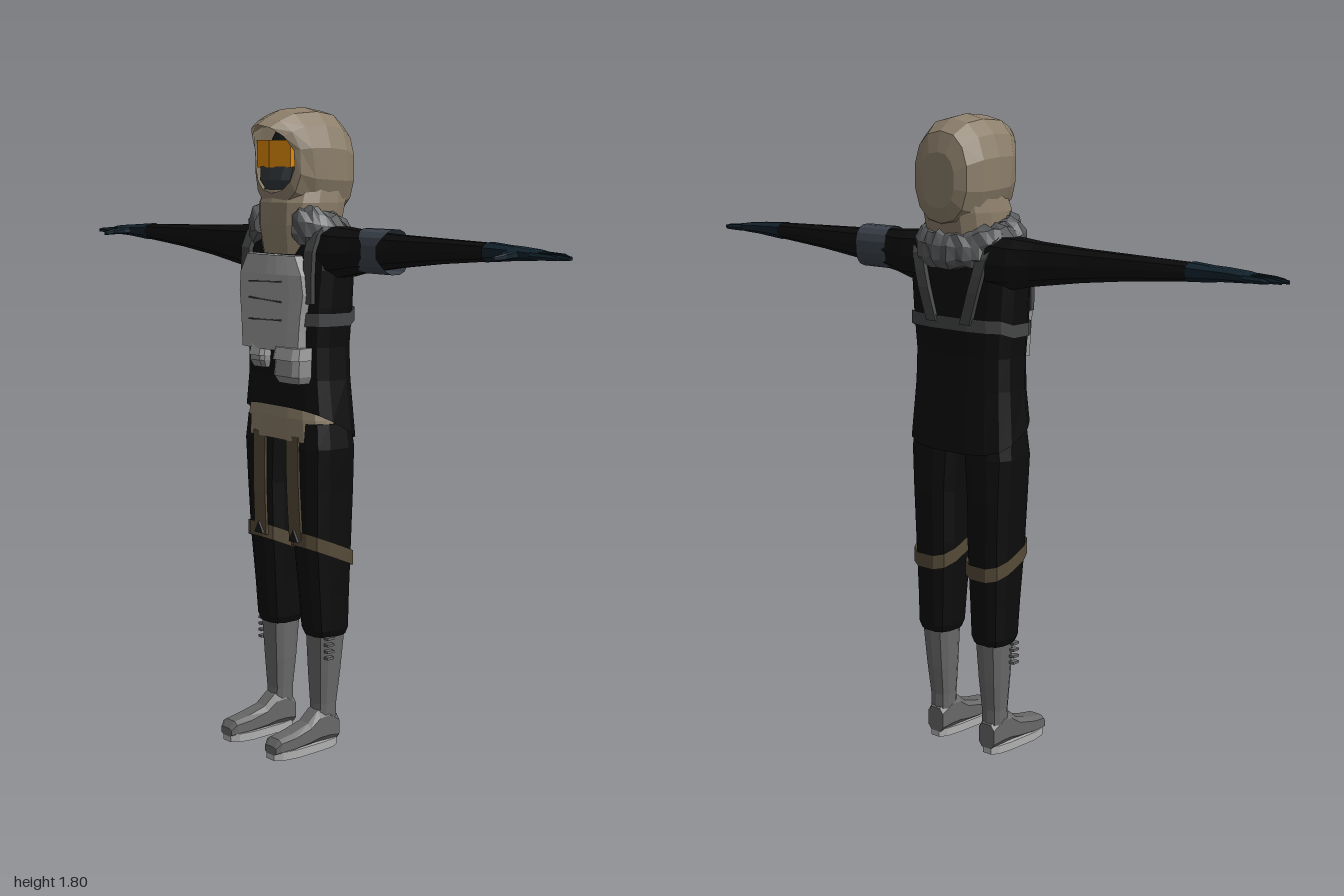
import * as THREE from 'three';

const COLORS = {
  cloth: 0x0c0c0c, tan: 0x8c7e6a, fur: 0x555658, plate: 0x9c9c9c, pouch: 0x8a8a8a, strap: 0x444546,
  brown: 0x554a38, boot: 0x686868, sole: 0xb0b0b0, glove: 0x12222c, band: 0x3c434c,
  visor: 0xe08a08, mask: 0x33383c, dark: 0x161718,
};
const mats = {};
const mat = (key) => (mats[key] ??= new THREE.MeshStandardMaterial({
  color: COLORS[key], flatShading: true, side: THREE.DoubleSide,
}));

// Unit rounded-square section of n points
function section(n, power = 0.7) {
  return Array.from({ length: n }, (_, i) => {
    const a = ((i + 0.5) / n) * Math.PI * 2, c = Math.cos(a), s = Math.sin(a);
    return [Math.sign(c) * Math.abs(c) ** power, Math.sign(s) * Math.abs(s) ** power];
  });
}

// Skin a list of rings; faces are turned to point outward
function loft(rings, capStart = true, capEnd = true) {
  const n = rings[0].length, tris = [];
  const mid = (r) => r.reduce((m, p) => m.map((v, k) => v + p[k] / n), [0, 0, 0]);
  for (let j = 0; j + 1 < rings.length; j++) for (let i = 0; i < n; i++) {
    const k = (i + 1) % n, A = rings[j], B = rings[j + 1];
    tris.push([A[i], B[i], A[k]], [A[k], B[i], B[k]]);
  }
  const first = rings[0], last = rings.at(-1);
  for (let i = 0; i < n; i++) {
    const k = (i + 1) % n;
    if (capStart) tris.push([first[i], first[k], mid(first)]);
    if (capEnd) tris.push([last[k], last[i], mid(last)]);
  }
  const o = new THREE.Vector3(...mid(rings.map(mid).concat(Array(Math.max(0, n - rings.length)).fill(mid(first))).slice(0, n)));
  let volume = 0;
  for (const t of tris) {
    const [a, b, c] = t.map((p) => new THREE.Vector3(...p).sub(o));
    volume += a.dot(b.cross(c));
  }
  const g = new THREE.BufferGeometry();
  const pos = tris.flatMap((t) => (volume < 0 ? [t[0], t[2], t[1]] : t)).flat();
  g.setAttribute('position', new THREE.Float32BufferAttribute(pos, 3));
  g.computeVertexNormals();
  return g;
}

// Upright rings from [y, centreX, halfX, frontZ, backZ]
const upright = (rows, n = 12, power = 0.7, yOf = (y) => y) => rows.map(([y, cx, rx, zf, zb], j) =>
  section(n, power).map(([u, v]) => {
    const z = (zf + zb) / 2 + (v * (zf - zb)) / 2;
    return [cx + u * rx, yOf(y, z, j), z];
  }));
// Rings along x from [x, centreY, halfY, centreZ, halfZ]
const sideways = (rows, n = 8, power = 0.8) => rows.map(([x, cy, ry, cz, rz]) =>
  section(n, power).map(([u, v]) => [x, cy + u * ry, cz + v * rz]));
// Rings along z from [z, centreX, halfX, bottomY, topY]
const forward = (rows, n = 8, power = 0.6) => rows.map(([z, cx, rx, y0, y1]) =>
  section(n, power).map(([u, v]) => [cx + u * rx, (y0 + y1) / 2 + (v * (y1 - y0)) / 2, z]));

// Flat webbing that follows a path, its width lying along x
function webbing(points, width, thick = 0.008) {
  const curve = new THREE.CatmullRomCurve3(points.map((p) => new THREE.Vector3(...p)));
  const steps = 12;
  return loft(Array.from({ length: steps + 1 }, (_, i) => {
    const p = curve.getPointAt(i / steps), t = curve.getTangentAt(i / steps);
    const nrm = new THREE.Vector3(1, 0, 0).cross(t).normalize();
    return [[-1, -1], [1, -1], [1, 1], [-1, 1]].map(([u, v]) => [
      p.x + (u * width) / 2, p.y + (v * nrm.y * thick) / 2, p.z + (v * nrm.z * thick) / 2]);
  }));
}

function mirrored(geo) {
  const g = geo.clone().scale(-1, 1, 1), p = g.attributes.position;
  for (let i = 0; i < p.count; i += 3) {
    const b = [p.getX(i + 1), p.getY(i + 1), p.getZ(i + 1)];
    p.setXYZ(i + 1, p.getX(i + 2), p.getY(i + 2), p.getZ(i + 2));
    p.setXYZ(i + 2, ...b);
  }
  g.computeVertexNormals();
  return g;
}

export function createModel() {
  const model = new THREE.Group();
  model.name = 'hoodedFigure';
  const add = (name, geo, key) => {
    const g = geo.index ? geo.toNonIndexed() : geo;
    g.computeVertexNormals();
    const mesh = new THREE.Mesh(g, mat(key));
    mesh.name = name;
    model.add(mesh);
    return g;
  };
  const pair = (name, geo, key) => add(`${name}Right`, mirrored(add(`${name}Left`, geo, key)), key);
  const box = (w, h, d, x, y, z) => new THREE.BoxGeometry(w, h, d).translate(x, y, z);

  // Jacket, with a hem that drops toward the back, and the tan layer under it
  add('jacket', loft(upright([
    [0, 0, 0.183, 0.068, -0.122], [1.06, 0, 0.17, 0.064, -0.11], [1.15, 0, 0.168, 0.064, -0.107],
    [1.26, 0, 0.178, 0.066, -0.11], [1.36, 0, 0.186, 0.06, -0.108], [1.44, 0, 0.18, 0.045, -0.1],
    [1.475, 0, 0.16, 0.035, -0.085], [1.5, 0, 0.1, 0.03, -0.07],
  ], 16, 0.65, (y, z, j) => (j ? y : 0.945 + 0.53 * z)), false), 'cloth');
  add('underHem', loft(upright([
    [0.887, 0, 0.174, 0.066, -0.1], [0.95, 0, 0.165, 0.066, -0.1], [1.03, 0, 0.15, 0.058, -0.09],
  ], 16, 0.65), false, false), 'tan');

  // Arms and gloves
  pair('sleeve', loft(sideways([
    [0.12, 1.41, 0.072, -0.035, 0.08], [0.19, 1.408, 0.069, -0.035, 0.07], [0.25, 1.412, 0.06, -0.033, 0.05],
    [0.4, 1.42, 0.045, -0.033, 0.036], [0.55, 1.427, 0.034, -0.033, 0.032], [0.74, 1.433, 0.023, -0.033, 0.028],
  ], 10)), 'cloth');
  pair('gloveCuff', loft(sideways([
    [0.73, 1.433, 0.026, -0.032, 0.032], [0.79, 1.433, 0.021, -0.032, 0.028], [0.83, 1.434, 0.018, -0.03, 0.031],
    [0.89, 1.433, 0.014, -0.029, 0.035], [0.91, 1.432, 0.011, -0.029, 0.034],
  ])), 'glove');
  [[-0.056, 0.965], [-0.038, 0.99], [-0.02, 1], [-0.002, 0.98]].forEach(([z, tip], i) =>
    pair(`finger${i + 1}`, loft(sideways([
      [0.895, 1.432, 0.01, z, 0.009], [0.95, 1.431, 0.008, z, 0.0075], [tip, 1.429, 0.005, z, 0.004],
    ], 6)), 'glove'));
  pair('thumb', loft(forward([
    [-0.025, 0.83, 0.028, 1.424, 1.444], [0.015, 0.833, 0.021, 1.422, 1.442],
    [0.04, 0.845, 0.011, 1.421, 1.438], [0.07, 0.839, 0.006, 1.42, 1.431],
  ])), 'glove');

  // Arm band, pinched at the front
  add('armBand', loft([-1, 1].map((s) => section(16, 0.8).map(([u, v]) => [
    0.33 + s * (0.057 - 0.038 * Math.max(0, v) ** 2 * (1 - Math.abs(u))),
    1.417 + u * 0.06, -0.033 + v * 0.047])), false, false), 'band');

  // Trousers, thigh strips and slanted knee bands
  pair('trouserLeg', loft(upright([
    [0.33, 0.1, 0.05, 0.018, -0.09], [0.35, 0.1, 0.057, 0.026, -0.097], [0.45, 0.099, 0.06, 0.035, -0.1],
    [0.6, 0.098, 0.067, 0.05, -0.105], [0.75, 0.1, 0.071, 0.057, -0.108], [0.87, 0.098, 0.08, 0.06, -0.107],
    [0.94, 0.09, 0.08, 0.055, -0.1],
  ])), 'cloth');
  pair('thighStrip', webbing([[0.073, 0.9, 0.059], [0.075, 0.75, 0.058], [0.078, 0.6, 0.051]], 0.052), 'brown');
  const kneeRow = (y) => [y, 0.098, 0.073, 0.057, -0.11];
  pair('kneeBand', loft(upright([kneeRow(0.568), kneeRow(0.61)], 12, 0.7, (y, z) => y + 0.42 * z), false, false), 'brown');
  pair('kneeBuckle', new THREE.CylinderGeometry(0.022, 0.022, 0.01, 3)
    .rotateX(Math.PI / 2).rotateZ(Math.PI).translate(0.078, 0.615, 0.058), 'dark');

  // Boots with soles and side lacing
  pair('bootShaft', loft(upright([
    [0.06, 0.098, 0.033, 0.005, -0.066], [0.13, 0.098, 0.034, 0.002, -0.066],
    [0.22, 0.099, 0.04, 0.008, -0.077], [0.36, 0.101, 0.047, 0.016, -0.09],
  ], 10)), 'boot');
  pair('bootFoot', loft(forward([
    [-0.069, 0.098, 0.03, 0.015, 0.09], [-0.03, 0.098, 0.036, 0.015, 0.12], [0.005, 0.098, 0.035, 0.015, 0.115],
    [0.04, 0.099, 0.035, 0.015, 0.085], [0.1, 0.101, 0.038, 0.015, 0.068],
    [0.148, 0.102, 0.034, 0.015, 0.06], [0.163, 0.102, 0.026, 0.015, 0.04],
  ])), 'boot');
  pair('bootSole', loft([0, 0.024].map((y) => section(12, 0.65).map(([u, v]) =>
    [0.1 + u * (v > 0 ? 0.042 : 0.037), y, 0.047 + v * 0.118]))), 'sole');
  for (let i = 0; i < 4; i++) pair(`bootLace${i + 1}`, box(0.016, 0.007, 0.024, 0.15, 0.272 + i * 0.019, -0.01), 'boot');

  // Chest plate: a box narrowed at the top and bent round the chest
  const plate = new THREE.BoxGeometry(0.28, 0.26, 0.03, 6, 5, 1);
  const widths = [0.88, 0.9, 0.94, 1, 0.95, 0.74], pp = plate.attributes.position;
  for (let i = 0; i < pp.count; i++) {
    const row = Math.round((pp.getY(i) / 0.26 + 0.5) * 5), x = pp.getX(i) * widths[row];
    pp.setXYZ(i, x - 0.004, pp.getY(i) + 1.268, pp.getZ(i) + 0.078 - 0.9 * x * x - (row === 5 ? 0.008 : 0));
  }
  add('chestPlate', plate, 'plate');
  [[1.325, 0.03], [1.275, -0.04], [1.22, 0.03]].forEach(([y, tilt], i) =>
    add(`plateFold${i + 1}`, box(0.14, 0.004, 0.006, 0, 0, 0).rotateZ(tilt).translate(-0.01, y, 0.091), 'strap'));

  // Harness
  pair('shoulderStrap', webbing([[0.137, 1.27, 0.056], [0.137, 1.36, 0.055], [0.138, 1.44, 0.044], [0.13, 1.492, -0.02],
    [0.122, 1.45, -0.096], [0.095, 1.35, -0.113], [0.06, 1.24, -0.113]], 0.036, 0.014), 'strap');
  const girth = (y) => [y, 0, 0.183, 0.07, -0.116];
  add('chestBand', loft(upright([girth(1.208), girth(1.245)], 16, 0.65,
    (y, z) => y + (z < -0.08 ? 0.012 : 0)), false, false), 'strap');

  // Belt pouches with flaps
  const pouch = (name, x, w, y0, y1, zf) => {
    add(name, loft(upright([
      [y0, x, w * 0.42, zf - 0.012, 0.04], [y0 + 0.02, x, w * 0.5, zf, 0.035], [y1, x, w * 0.47, zf - 0.008, 0.035],
    ], 8, 0.45)), 'pouch');
    add(`${name}Flap`, loft(upright([
      [y1 - 0.03, x, w * 0.52, zf + 0.003, 0.035], [y1 + 0.004, x, w * 0.49, zf - 0.006, 0.035],
    ], 8, 0.45)), 'plate');
  };
  pouch('smallPouch', -0.052, 0.066, 1.085, 1.148, 0.095);
  pouch('largePouch', 0.086, 0.112, 1.052, 1.146, 0.105);

  // Hood: neck drape plus rings running from the face rim to the back
  add('hoodNeck', loft(upright([
    [1.4, 0.004, 0.1, 0.07, -0.12], [1.48, 0.005, 0.112, 0.082, -0.126],
    [1.54, 0.007, 0.115, 0.082, -0.138], [1.59, 0.008, 0.108, 0.062, -0.14],
  ], 14, 0.8)), 'tan');
  const hoodRing = (rx, y0, y1, zOf, power = 0.85) => section(14, power).map(([u, v]) =>
    [0.009 + u * rx, (y0 + y1) / 2 + (v * (y1 - y0)) / 2, zOf(v)]);
  add('hood', loft([
    hoodRing(0.086, 1.565, 1.748, (v) => 0.068 + (v > 0 ? 0.062 : 0.012) * v * v, 0.9),
    hoodRing(0.101, 1.53, 1.768, (v) => 0.058 + (v > 0 ? 0.04 : 0.015) * v * v),
    hoodRing(0.116, 1.5, 1.79, (v) => 0.025 + 0.025 * v),
    hoodRing(0.121, 1.49, 1.797, () => -0.03),
    hoodRing(0.117, 1.49, 1.788, () => -0.09),
    hoodRing(0.094, 1.51, 1.755, () => -0.135),
    hoodRing(0.06, 1.55, 1.7, () => -0.148),
  ], false), 'tan');

  // Face, visor in two angled panes, and breathing mask
  add('face', new THREE.SphereGeometry(1, 12, 8).scale(0.094, 0.11, 0.07).translate(0.008, 1.655, -0.005), 'dark');
  for (const s of [-1, 1]) add(s > 0 ? 'visorLeft' : 'visorRight',
    box(0.074, 0.074, 0.02, s * 0.036, 0, 0).rotateY(s * 0.2).translate(-0.002, 1.671, 0.07), 'visor');
  add('mask', loft(upright([
    [1.575, 0, 0.045, 0.075, 0], [1.6, 0, 0.066, 0.084, 0], [1.637, 0, 0.074, 0.078, 0],
  ], 10)), 'mask');

  // Ragged fur collar, open at the front
  let seed = 7;
  const rand = () => (seed = (seed * 16807) % 2147483647) / 2147483647;
  const furRings = [];
  for (let i = 0; i <= 34; i++) {
    const a = THREE.MathUtils.degToRad(57 - (i / 34) * 294), end = i === 0 || i === 34 ? 0.6 : 1;
    furRings.push(section(9, 0.9).map(([u, v]) => {
      const k = end * (0.78 + 0.42 * rand()), r = u * 0.034 * k;
      return [Math.cos(a) * (0.13 + r), 1.466 + 0.022 * Math.sin(a) + v * 0.05 * k - u * 0.012,
        -0.024 + Math.sin(a) * (0.094 + r)];
    }));
  }
  add('furCollar', loft(furRings), 'fur');

  return model;
}
